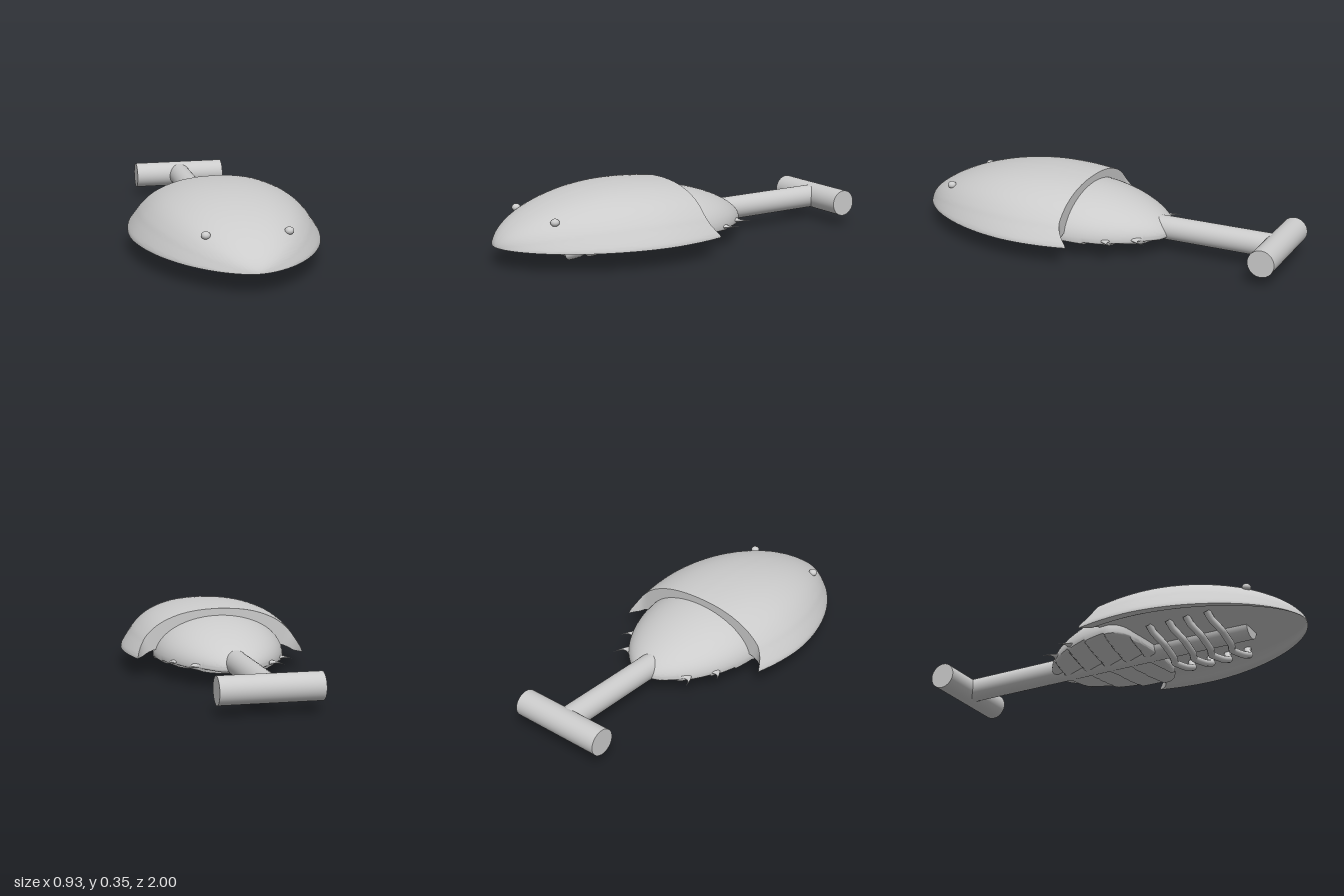
import * as THREE from 'three';
import { toCreasedNormals } from 'three/addons/utils/BufferGeometryUtils.js';

const material = new THREE.MeshStandardMaterial({ color: 0xcccccc, side: THREE.DoubleSide });
const clamp = (v) => Math.min(1, Math.max(0, v));

function addMesh(parent, name, geometry) {
  const mesh = new THREE.Mesh(geometry, material);
  mesh.name = name;
  parent.add(mesh);
  return mesh;
}

// Skin closed rings, running from front to back
function loft(rings) {
  const n = rings[0].length;
  const index = [];
  for (let i = 0; i < rings.length - 1; i++) {
    for (let j = 0; j < n; j++) {
      const a = i * n + j, b = i * n + (j + 1) % n, c = a + n, d = b + n;
      index.push(a, c, b, b, c, d);
    }
  }
  const geometry = new THREE.BufferGeometry();
  geometry.setAttribute('position', new THREE.Float32BufferAttribute(rings.flat(2), 3));
  geometry.setIndex(index);
  return toCreasedNormals(geometry, 0.7);
}

const profile = (points) =>
  new THREE.SplineCurve(points.map(([x, y]) => new THREE.Vector2(x, y))).getPoints(32);

// Front shell: dome with a flared brim, shallow recessed underside and swept-back rear corners
function shellGeometry() {
  const outerHalf = profile([[1, 0], [0.99, 0.07], [0.95, 0.19], [0.905, 0.31], [0.85, 0.45], [0.75, 0.63], [0.62, 0.78], [0.43, 0.91], [0.215, 0.98], [0, 1]]);
  const innerHalf = profile([[0.995, 0], [0.95, 0], [0.9, 0.01], [0.83, 0.08], [0.74, 0.14], [0.6, 0.14], [0.43, 0.08], [0.2, 0.06], [0, 0.06]]);
  const across = (half) => [...half, ...half.slice(0, -1).reverse().map((p) => new THREE.Vector2(-p.x, p.y))];
  const outer = across(outerHalf), inner = across(innerHalf).reverse();
  const width = (z) => z > 0.27
    ? 0.465 * Math.pow(Math.max(0, 1 - Math.pow((z - 0.27) / 0.73, 1.8)), 0.58)
    : 0.465 - 0.48 * (0.27 - z) ** 2;
  const height = (z) => z > 0.3
    ? 0.25 * Math.pow(Math.max(0, 1 - ((z - 0.3) / 0.7) ** 2), 0.65)
    : 0.25 - 0.28 * (0.3 - z) ** 2;
  const place = (p, t) => {
    const k = clamp((Math.abs(p.x) - 0.83) / 0.17);
    const z = 1 - (0.94 + 0.06 * k * k) * t;
    return [p.x * width(z), 0.1 + p.y * height(z), z];
  };
  const rings = [];
  for (let i = 0; i <= 40; i++) {
    const t = Math.pow(i / 40, 1.6);
    rings.push([...outer, ...inner].map((p) => place(p, t)));
  }
  // Close the rear wall
  const last = rings[40], n = last.length;
  rings.push(last.map((p, j) => p.map((v, k) => (v + last[n - 1 - j][k]) / 2)));
  return loft(rings);
}

// Rear body: tapering dome, overlapping gill plates underneath
function abdomenGeometry() {
  const rings = [];
  const rows = 120, half = 28;
  for (let i = 0; i <= rows; i++) {
    const z = -0.0825 + 0.3025 * Math.cos((Math.PI * i) / rows);
    const q = clamp((0.1 - z) / 0.485);
    const front = Math.sqrt(Math.max(0, 1 - clamp((z - 0.1) / 0.12) ** 2));
    const w = 0.335 * Math.pow(1 - Math.pow(q, 1.8), 0.6) * front;
    const h = 0.2 * Math.pow(1 - Math.pow(q, 1.6), 0.64) * front;
    const ring = [];
    for (let j = 0; j < half * 2; j++) {
      const a = (Math.PI * j) / half;
      const x = w * Math.cos(a), s = Math.sin(a);
      if (s >= 0) {
        ring.push([x, 0.1 + h * s, z]);
      } else {
        const phase = (z - 0.15 * Math.abs(x) + 1) / 0.115;
        const step = phase - Math.floor(phase);
        const depth = 0.014 + 0.022 * (1 - step);
        ring.push([x, 0.1 - depth * Math.sqrt(-s) * Math.min(1, w / 0.1), z]);
      }
    }
    rings.push(ring);
  }
  return loft(rings);
}

// Cone bent backward along its length
function spineGeometry(length, sweep) {
  const geometry = new THREE.ConeGeometry(0.036, length, 12, 10);
  geometry.translate(0, length / 2, 0);
  const pos = geometry.attributes.position;
  for (let i = 0; i < pos.count; i++) {
    const t = pos.getY(i) / length;
    pos.setX(i, pos.getX(i) * 0.4);
    pos.setZ(i, pos.getZ(i) - sweep * t ** 3);
  }
  geometry.rotateZ(-Math.PI / 2);
  geometry.computeVertexNormals();
  return geometry;
}

export function createModel() {
  const model = new THREE.Group();
  model.name = 'horseshoeCrabShovel';

  addMesh(model, 'frontShell', shellGeometry());
  addMesh(model, 'abdomen', abdomenGeometry());

  // Tail shaft and cross grip
  const shaft = addMesh(model, 'shaft', new THREE.CylinderGeometry(0.06, 0.06, 1.64, 40));
  shaft.rotation.x = Math.PI / 2;
  shaft.position.set(0, 0.12, -0.1);
  const grip = addMesh(model, 'grip', new THREE.CylinderGeometry(0.067, 0.067, 0.49, 40));
  grip.rotation.z = Math.PI / 2;
  grip.position.set(0, 0.12, -0.933);

  // Eyes and side spines
  for (const side of [1, -1]) {
    const half = new THREE.Group();
    half.name = side > 0 ? 'leftSide' : 'rightSide';
    half.scale.x = side;
    model.add(half);
    const eye = addMesh(half, 'eye', new THREE.SphereGeometry(0.022, 20, 14));
    eye.position.set(0.195, 0.231, 0.785);
    eye.scale.y = 0.85;
    for (const [x, z, length, sweep] of [[0.25, -0.13, 0.068, 0.06], [0.175, -0.255, 0.064, 0.08]]) {
      addMesh(half, 'spine', spineGeometry(length, sweep)).position.set(x, 0.105, z);
    }
  }

  // Curved legs slung beneath the shaft
  const legPath = [[0.24, 0.135, -0.01], [0.21, 0.1, 0], [0.16, 0.055, 0.03], [0.07, 0.02, 0.035]];
  for (const z of [0.605, 0.495, 0.4, 0.295]) {
    const points = [
      ...legPath.map(([x, y, dz]) => new THREE.Vector3(x, y, z + dz)),
      new THREE.Vector3(0, 0.02, z + 0.01),
      ...[...legPath].reverse().map(([x, y, dz]) => new THREE.Vector3(-x, y, z + dz)),
    ];
    const curve = new THREE.CatmullRomCurve3(points, false, 'catmullrom', 0.2);
    addMesh(model, 'legPair', new THREE.TubeGeometry(curve, 60, 0.018, 10));
  }
  return model;
}
